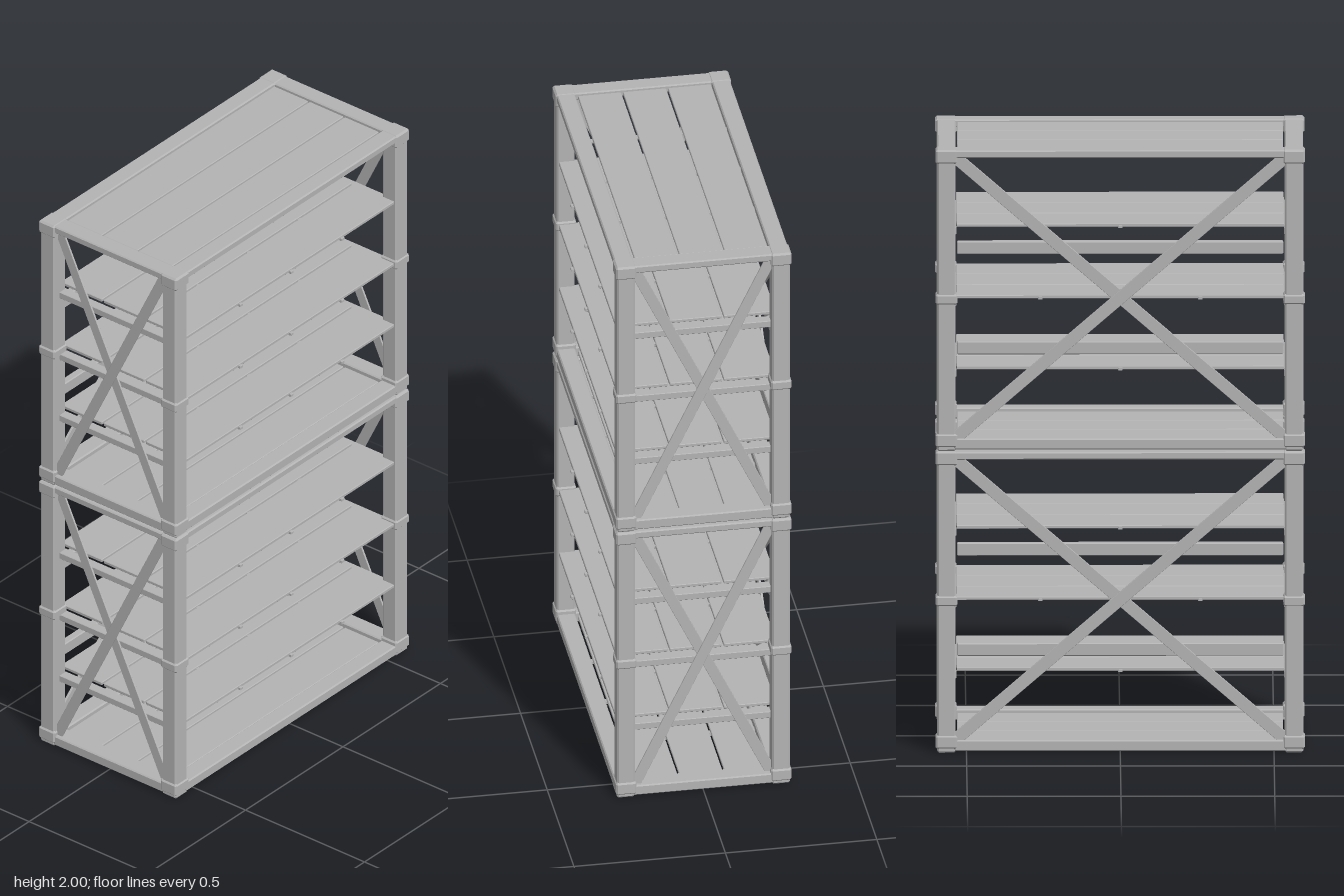
import * as THREE from 'three';
import { ConvexGeometry } from 'three/addons/geometries/ConvexGeometry.js';

const grey = new THREE.MeshStandardMaterial({ color: 0xb4b4b4 });
grey.name = 'painted steel grey';

// Box with chamfered edges, centred on the origin
function chamferBox(w, h, d, c) {
  const pts = [];
  for (const x of [-1, 1]) for (const y of [-1, 1]) for (const z of [-1, 1]) {
    const a = x * w / 2, b = y * h / 2, e = z * d / 2;
    pts.push(
      new THREE.Vector3(a, b - y * c, e - z * c),
      new THREE.Vector3(a - x * c, b, e - z * c),
      new THREE.Vector3(a - x * c, b - y * c, e));
  }
  return new ConvexGeometry(pts);
}

// Chamfered bar given by its extents on each axis
function bar(group, name, [x0, x1], [y0, y1], [z0, z1], c = 0.004) {
  const mesh = new THREE.Mesh(chamferBox(x1 - x0, y1 - y0, z1 - z0, c), grey);
  mesh.name = name;
  mesh.position.set((x0 + x1) / 2, (y0 + y1) / 2, (z0 + z1) / 2);
  group.add(mesh);
  return mesh;
}

// Two crossed flat bars in the XY plane, one lying just in front of the other
function crossBrace(name, halfWidth, y0, y1, thick, width) {
  const g = new THREE.Group();
  g.name = name;
  const h = y1 - y0;
  for (const s of [-1, 1]) {
    const m = new THREE.Mesh(chamferBox(Math.hypot(halfWidth * 2, h), width, thick, 0.001), grey);
    m.name = 'diagonalBar';
    m.rotation.z = s * Math.atan2(h, halfWidth * 2);
    m.position.set(0, (y0 + y1) / 2, s * thick / 2);
    g.add(m);
  }
  return g;
}

// Three boards laid side by side along z
function boards(group, name, half, yRange, z0, z1, gap) {
  const w = (z1 - z0) / 3;
  for (let i = 0; i < 3; i++) {
    bar(group, name, [-half, half], yRange, [z0 + i * w + gap / 2, z0 + (i + 1) * w - gap / 2], 0.002);
  }
}

function createRack() {
  const rack = new THREE.Group();
  rack.name = 'rackUnit';

  // Corner posts with end caps and a middle collar
  for (const sx of [-1, 1]) for (const sz of [-1, 1]) {
    const corner = new THREE.Group();
    corner.name = 'cornerPost';
    bar(corner, 'post', [-0.03, 0.03], [0, 0.998], [-0.03, 0.03], 0.006);
    for (const [y0, y1] of [[0.013, 0.058], [0.486, 0.521], [0.953, 1]]) {
      bar(corner, 'collar', [-0.035, 0.035], [y0, y1], [-0.034, 0.034], 0.006);
    }
    corner.position.set(sx * 0.565, 0, sz * 0.256);
    rack.add(corner);
  }

  // Top and bottom frames
  for (const y of [[0.006, 0.042], [0.972, 0.998]]) {
    for (const s of [-1, 1]) {
      bar(rack, 'longFrameBeam', [-0.54, 0.54], y, [s * 0.256 - 0.03, s * 0.256 + 0.03]);
      bar(rack, 'sideFrameBeam', [s * 0.565 - 0.03, s * 0.565 + 0.03], y, [-0.23, 0.23]);
    }
  }

  // Floor and roof boards with cross battens underneath
  boards(rack, 'floorBoard', 0.53, [0.022, 0.032], -0.225, 0.22, 0.006);
  boards(rack, 'roofBoard', 0.53, [0.982, 0.992], -0.225, 0.22, 0.006);
  for (const x of [-0.26, 0, 0.26]) {
    bar(rack, 'floorBatten', [x - 0.008, x + 0.008], [0.01, 0.022], [-0.23, 0.23], 0.001);
    bar(rack, 'roofBatten', [x - 0.008, x + 0.008], [0.972, 0.982], [-0.23, 0.23], 0.001);
  }

  // Shelves, their battens and their end supports
  for (const y of [0.27, 0.505, 0.742]) {
    boards(rack, 'shelfBoard', 0.533, [y - 0.006, y + 0.006], -0.252, 0.283, 0.007);
    for (const x of [-0.26, 0, 0.26]) {
      bar(rack, 'shelfBatten', [x - 0.007, x + 0.007], [y - 0.009, y + 0.001], [-0.25, 0.288], 0.001);
    }
    for (const s of [-1, 1]) {
      bar(rack, 'shelfSupport', [s * 0.55 - 0.017, s * 0.55 + 0.017], [y - 0.034, y - 0.01], [-0.23, 0.23], 0.002);
    }
  }

  // Back rails
  for (const y of [0.338, 0.67]) {
    bar(rack, 'backRail', [-0.53, 0.53], [y - 0.021, y + 0.021], [-0.262, -0.235], 0.003);
  }

  // Cross braces at the back and on both sides
  const back = crossBrace('backBrace', 0.545, 0.035, 0.98, 0.008, 0.04);
  back.position.z = -0.272;
  rack.add(back);
  for (const s of [-1, 1]) {
    const side = crossBrace('sideBrace', 0.225, 0.04, 0.975, 0.007, 0.036);
    side.rotation.y = s * Math.PI / 2;
    side.position.x = s * 0.575;
    rack.add(side);
  }
  return rack;
}

export function createModel() {
  const model = new THREE.Group();
  model.name = 'stackedShelving';
  // Two identical units, one on top of the other
  for (const y of [0, 1]) {
    const rack = createRack();
    rack.position.y = y;
    model.add(rack);
  }
  return model;
}
